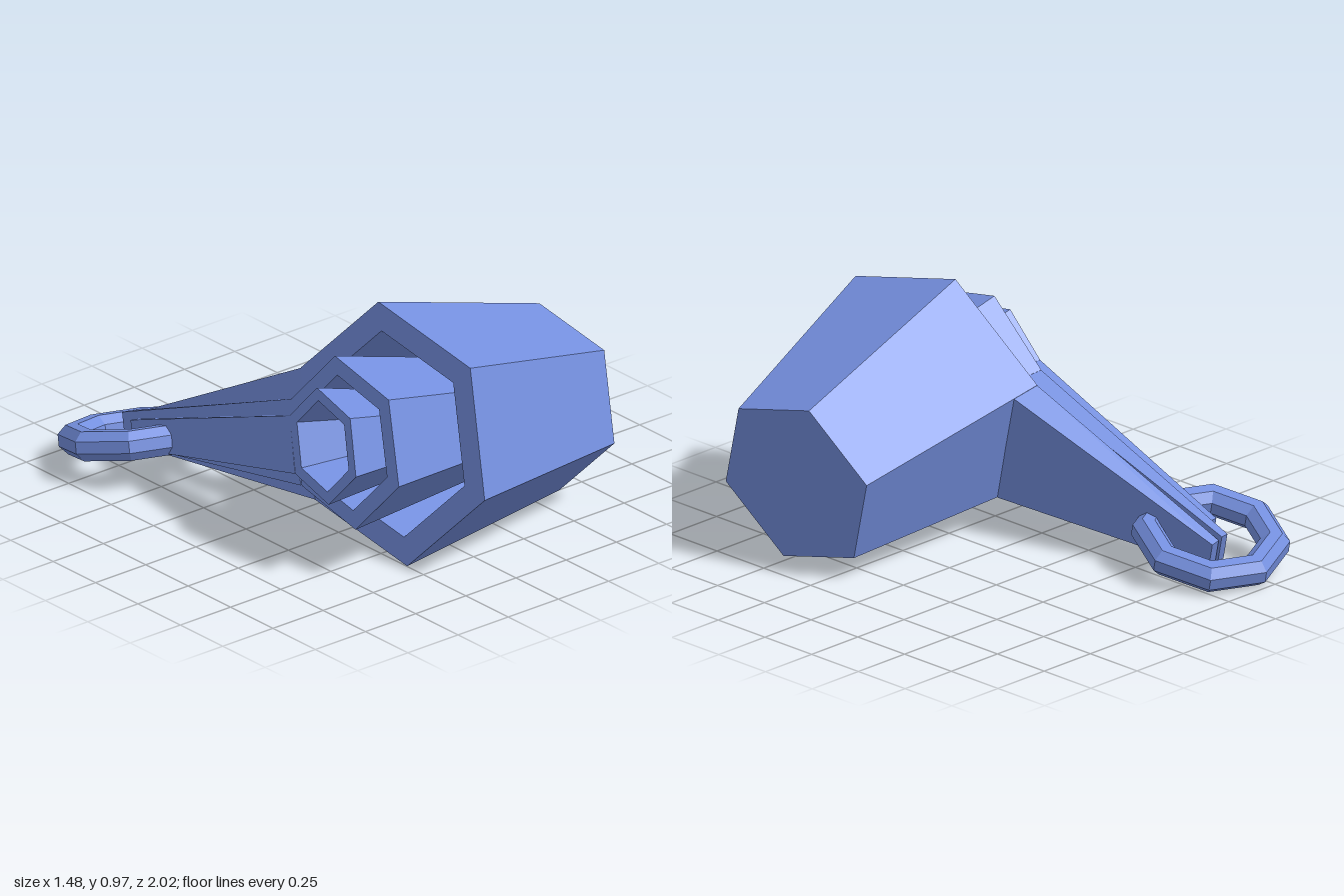
import * as THREE from 'three';

const V = (p) => new THREE.Vector3(...p);
const blue = new THREE.MeshStandardMaterial({ color: 0x7590e0, flatShading: true });
const TAPER = 0.17;

// Each cup: rim centre, two rim-corner directions (a up, c forward), sizes and handle tip
const CUPS = [
  { name: 'largeCup', centre: [-0.2, 0.495, 0.51], a: [0.118, 0.948, -0.296], c: [0.078, -0.225, 0.97],
    r: 0.51, length: 0.885, root: 0.12, tip: [-0.392, 0.108, -0.795], tipHalf: 0.06, tipThick: 0.04 },
  { name: 'mediumCup', centre: [-0.42, 0.517, 0.49], a: [0.118, 0.95, -0.297], c: [-0.03, -0.195, 0.98],
    r: 0.335, length: 0.58, root: 0.085, tip: [-0.432, 0.125, -0.802], tipHalf: 0.06, tipThick: 0.03 },
  { name: 'smallCup', centre: [-0.519, 0.527, 0.475], a: [0.13, 0.945, -0.29], c: [-0.09, -0.2, 0.975],
    r: 0.225, length: 0.4, root: 0.06, tip: [-0.482, 0.15, -0.695], tipHalf: 0.055, tipThick: 0.035 },
];

// Hollow six-sided bowl, opening along local +y
function makeBowl({ centre, r, length }, c, d) {
  const wall = r * 0.22;
  const base = r - TAPER * length;
  const profile = [
    [0, -length], [base, -length], [r, 0], [r - wall, 0],
    [base - wall * 0.8, -length + wall], [0, -length + wall],
  ].map(([x, y]) => new THREE.Vector2(x, y));
  const mesh = new THREE.Mesh(new THREE.LatheGeometry(profile, 6), blue);
  const up = d.clone().negate();
  const side = new THREE.Vector3().crossVectors(up, c);
  mesh.quaternion.setFromRotationMatrix(new THREE.Matrix4().makeBasis(side, up, c));
  mesh.position.copy(V(centre));
  mesh.name = 'bowl';
  return mesh;
}

// Handle: a box whose root spans one bowl side and whose far end narrows to the tip
function makeHandle({ centre, r, root, tip, tipHalf, tipThick }, a, c, d) {
  const geo = new THREE.BoxGeometry(1, 1, 1);
  const pos = geo.attributes.position;
  const b = a.clone().add(c);
  for (let i = 0; i < pos.count; i++) {
    const outer = pos.getX(i) > 0, upper = pos.getY(i) > 0, atRoot = pos.getZ(i) > 0;
    const p = V(atRoot ? centre : tip);
    if (atRoot) {
      const depth = outer ? root : 0;
      p.addScaledVector(upper ? c : b, -(r - TAPER * depth) * 0.995).addScaledVector(d, depth);
    } else {
      p.addScaledVector(a, upper ? tipHalf : -tipHalf).addScaledVector(d, outer ? tipThick : 0);
    }
    pos.setXYZ(i, p.x, p.y, p.z);
  }
  geo.computeVertexNormals();
  const mesh = new THREE.Mesh(geo, blue);
  mesh.name = 'handle';
  return mesh;
}

function makeCup(spec) {
  const a = V(spec.a).normalize(), c = V(spec.c).normalize();
  const d = new THREE.Vector3().crossVectors(a, c).normalize();
  const cup = new THREE.Group();
  cup.name = spec.name;
  cup.add(makeBowl(spec, c, d), makeHandle(spec, a, c, d));
  return cup;
}

// Eight-sided ring with an eight-sided section, tilted
function makeRing() {
  const section = [];
  for (let i = 0; i <= 8; i++) {
    const t = ((i + 0.5) * Math.PI) / 4;
    section.push(new THREE.Vector2(0.245 + 0.062 * Math.cos(t), 0.062 * Math.sin(t)));
  }
  const ring = new THREE.Mesh(new THREE.LatheGeometry(section, 8), blue);
  ring.quaternion.setFromUnitVectors(new THREE.Vector3(0, 1, 0), new THREE.Vector3(0.1, 1, -0.28).normalize());
  ring.position.set(-0.44, 0.132, -0.715);
  ring.name = 'ring';
  return ring;
}

export function createModel() {
  const model = new THREE.Group();
  model.name = 'measuringCups';
  CUPS.forEach((spec) => model.add(makeCup(spec)));
  model.add(makeRing());
  return model;
}
